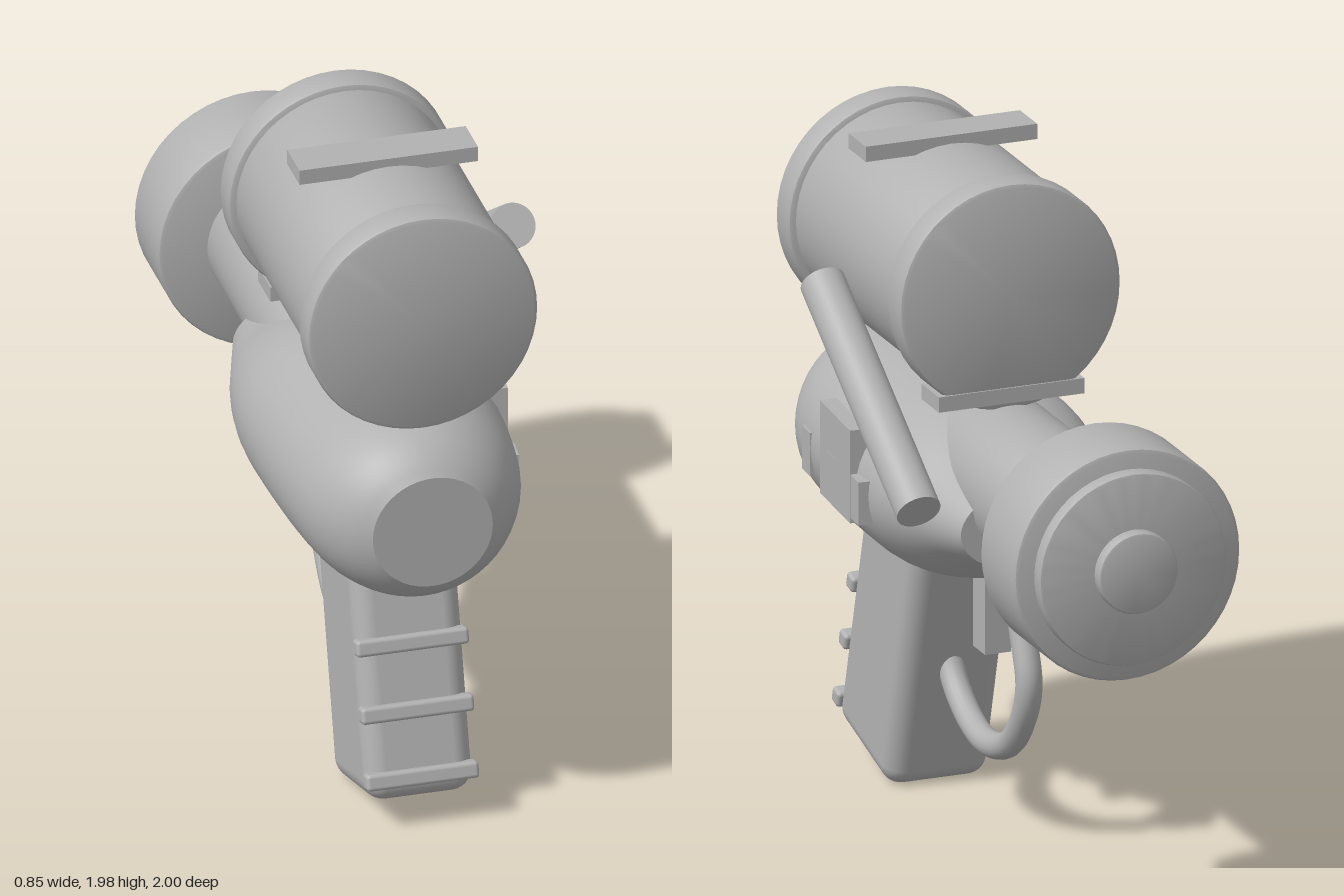
import * as THREE from 'three';
import { toCreasedNormals } from 'three/addons/utils/BufferGeometryUtils.js';
import { RoundedBoxGeometry } from 'three/addons/geometries/RoundedBoxGeometry.js';

const AXIS_X = -0.065; // shared centre plane of body, barrel and tank

export function createModel() {
  const model = new THREE.Group();
  model.name = 'toyBlaster';
  const grey = new THREE.MeshStandardMaterial({ color: 0xb2b2b2 });
  grey.name = 'plainGrey';

  const add = (name, geometry, x, y, z, parent = model) => {
    const mesh = new THREE.Mesh(geometry, grey);
    mesh.name = name;
    mesh.position.set(x, y, z);
    parent.add(mesh);
    return mesh;
  };

  // Bevelled cylinder lying along z, from z0 to z1
  const drum = (name, r, z0, z1, y, b = 0.015) => {
    const pts = [[0, z0], [r - b, z0], [r - b * 0.3, z0 + b * 0.3], [r, z0 + b],
      [r, z1 - b], [r - b * 0.3, z1 - b * 0.3], [r - b, z1], [0, z1]]
      .map(([a, c]) => new THREE.Vector2(a, c));
    const g = new THREE.LatheGeometry(pts, 48).rotateX(Math.PI / 2);
    return add(name, toCreasedNormals(g, 0.5), AXIS_X, y, 0);
  };

  // Body: elliptical sections given as half width, z, half height
  const sections = [
    [0.242, -0.25, 0.135], [0.29, -0.1, 0.185], [0.335, 0.05, 0.25], [0.358, 0.2, 0.287],
    [0.358, 0.4, 0.29], [0.345, 0.62, 0.29], [0.318, 0.8, 0.284], [0.275, 0.9, 0.258],
    [0.228, 0.96, 0.218], [0.178, 1, 0.175],
  ].map((s) => new THREE.Vector3(...s));
  const rings = new THREE.CatmullRomCurve3(sections).getPoints(36);
  rings.unshift(new THREE.Vector3(0, -0.25, 0));
  rings.push(new THREE.Vector3(0, 1, 0));
  const bodyGeo = new THREE.LatheGeometry(rings.map((p) => new THREE.Vector2(p.x, p.y)), 48);
  bodyGeo.rotateX(Math.PI / 2);
  const pos = bodyGeo.attributes.position;
  for (let i = 0; i < pos.count; i++) {
    const p = rings[i % rings.length];
    pos.setY(i, p.x > 0 ? (pos.getY(i) * p.z) / p.x : 0);
  }
  add('body', toCreasedNormals(bodyGeo, 0.6), AXIS_X, 1.014, 0);

  // Barrel and stepped end wheel
  drum('barrel', 0.205, -0.7, 0.1, 1.105, 0.005);
  drum('endWheel', 0.35, -0.915, -0.65, 1.105);
  drum('endPlate', 0.29, -0.96, -0.9, 1.105, 0.01);
  drum('endKnob', 0.122, -1, -0.95, 1.105, 0.008);

  // Tank with two rims and its mounting bars
  drum('tank', 0.32, -0.02, 0.88, 1.64, 0.005);
  drum('tankFrontRim', 0.342, 0.795, 0.9, 1.637);
  drum('tankBackRim', 0.342, -0.04, 0.065, 1.637);
  add('topBar', new THREE.BoxGeometry(0.53, 0.046, 0.13), AXIS_X, 1.962, 0.47);
  add('lowerBar', new THREE.BoxGeometry(0.45, 0.046, 0.13), AXIS_X, 1.342, 0.02);

  // Slanted side rod
  const rod = add('sideRod', new THREE.CylinderGeometry(0.066, 0.066, 0.857, 32), 0.355, 1.38, -0.005);
  rod.rotation.x = 0.997;

  // Tilted grip with three ribs
  const tilt = -0.27;
  add('grip', new RoundedBoxGeometry(0.32, 0.85, 0.408, 4, 0.06), AXIS_X, 0.452, 0.587).rotation.x = tilt;
  [[0.54, 0.77], [0.35, 0.825], [0.16, 0.877]].forEach(([y, z]) => {
    add('gripRib', new RoundedBoxGeometry(0.335, 0.05, 0.05, 2, 0.012), AXIS_X, y, z).rotation.x = tilt;
  });

  // Trigger and curved guard
  add('trigger', new THREE.BoxGeometry(0.08, 0.35, 0.09), AXIS_X, 0.705, 0.103);
  const guardPath = new THREE.CatmullRomCurve3([
    [0.46, 0.5], [0.425, 0.41], [0.37, 0.335], [0.26, 0.265], [0.14, 0.238],
    [-0.02, 0.28], [-0.13, 0.39], [-0.174, 0.51], [-0.12, 0.67],
  ].map(([z, y]) => new THREE.Vector3(0, y, z)));
  add('triggerGuard', new THREE.TubeGeometry(guardPath, 48, 0.039, 16), AXIS_X, 0, 0);
  const tip = add('guardTip', new THREE.CircleGeometry(0.039, 16), AXIS_X, 0.67, -0.12);
  tip.lookAt(tip.position.clone().add(guardPath.getTangent(1)));

  // Side panel with clips, following the slope of the body
  const panel = new THREE.Group();
  panel.name = 'sidePanel';
  panel.position.set(0.297, 1, 0.43);
  panel.rotation.y = -0.085;
  model.add(panel);
  add('panelPlate', new THREE.BoxGeometry(0.05, 0.28, 0.285), -0.025, 0.05, -0.035, panel);
  [0.235, 0, -0.222].forEach((z) => {
    add('panelClip', new THREE.BoxGeometry(0.05, 0.13, 0.075), -0.024, -0.005, z, panel);
  });

  return model;
}
